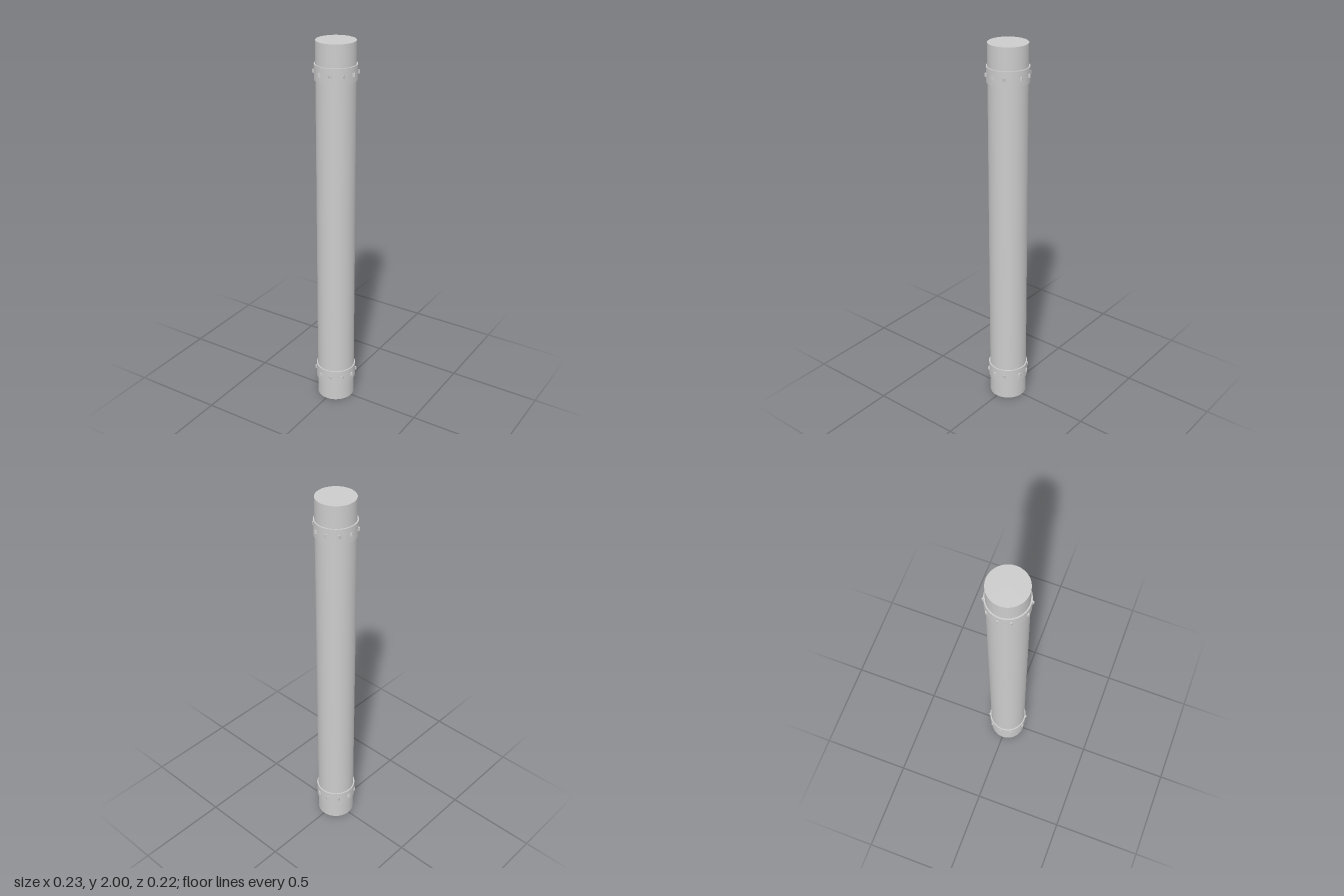
import * as THREE from 'three';

export function createModel() {
  const model = new THREE.Group();
  const material = new THREE.MeshStandardMaterial({ color: 0xcccccc });

  const add = (parent, geometry, name) => {
    const mesh = new THREE.Mesh(geometry, material);
    mesh.name = name;
    parent.add(mesh);
    return mesh;
  };

  // Main round pipe, closed at both ends
  add(model, new THREE.CylinderGeometry(0.1, 0.1, 2, 64), 'pipe').position.y = 1;

  // Hand-placed rivet directions in degrees, repeated on the opposite half
  const halfTurn = [5.5, 39.5, 74, 106, 152];
  const rivetAngles = [...halfTurn, ...halfTurn.map((a) => a + 180)];
  const rivetGeometry = new THREE.BoxGeometry(0.016, 0.018, 0.016);

  // Collar wrapped round the pipe, with rivets showing one corner outward
  const addCollar = (name, y) => {
    const collar = new THREE.Group();
    collar.name = name;
    collar.position.y = y;
    add(collar, new THREE.CylinderGeometry(0.107, 0.107, 0.078, 64), 'band');
    for (const degrees of rivetAngles) {
      const a = THREE.MathUtils.degToRad(degrees);
      const rivet = add(collar, rivetGeometry, 'rivet');
      rivet.position.set(Math.cos(a) * 0.1037, 0, Math.sin(a) * 0.1037);
      rivet.rotation.y = Math.PI / 4 - a;
    }
    model.add(collar);
  };
  addCollar('lowerCollar', 0.148);
  addCollar('upperCollar', 1.847);

  return model;
}
